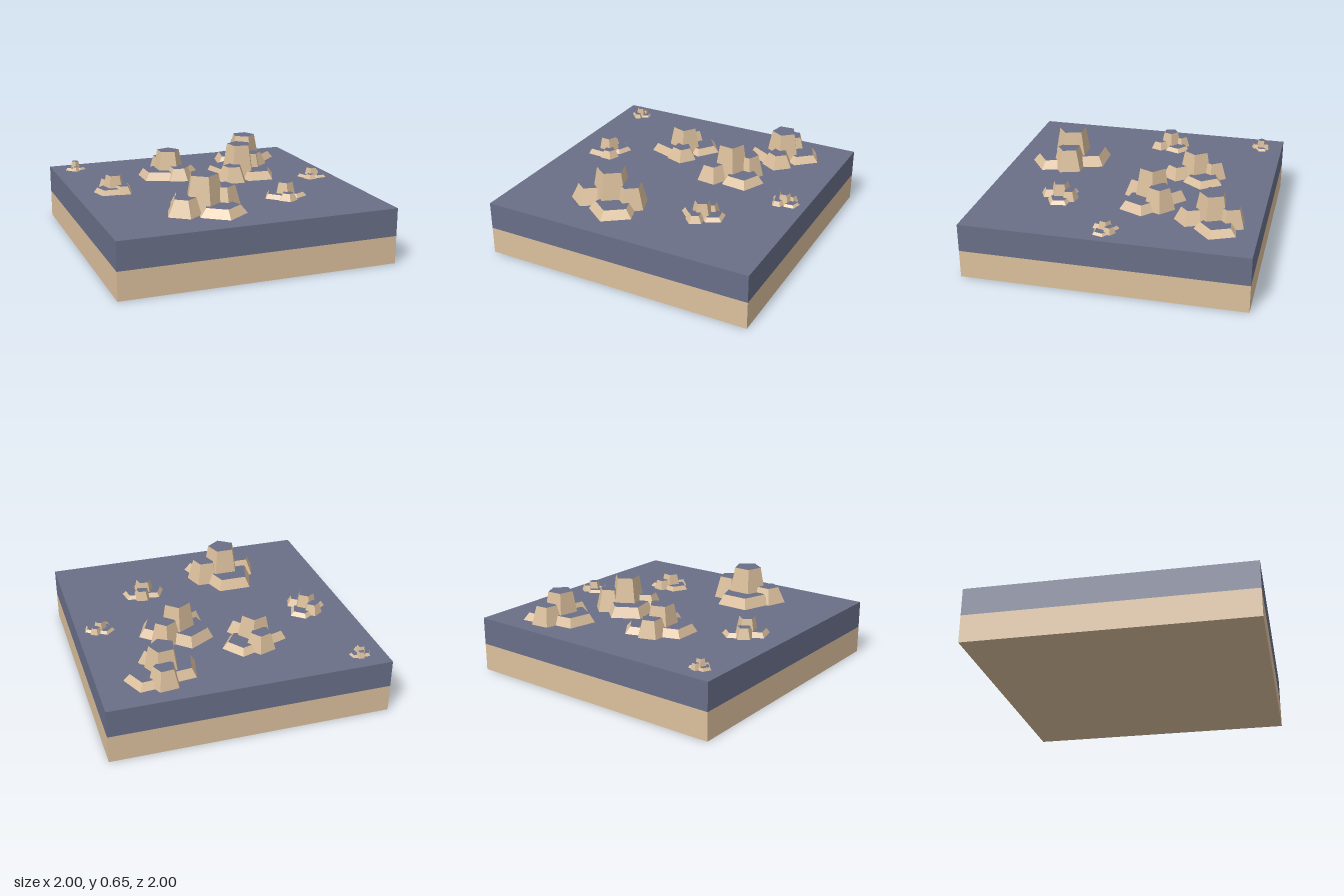
import * as THREE from 'three';

const sand = new THREE.MeshStandardMaterial({ color: 0xdcc09d, flatShading: true });
const slate = new THREE.MeshStandardMaterial({ color: 0x6a6f88, flatShading: true });

// One outcrop: five-sided tapered rocks [name, x, z, bottom radius, top radius, height]
const ROCKS = [
  ['peak', 0, 0, 0.15, 0.103, 0.255],
  ['broadLedge', -0.03, -0.09, 0.205, 0.16, 0.075],
  ['tallShoulder', 0.145, -0.01, 0.13, 0.085, 0.16],
  ['lowLedge', 0.085, 0.12, 0.18, 0.13, 0.06],
  ['midShoulder', -0.155, 0.05, 0.135, 0.08, 0.115],
];

// Placed outcrops: [x, z, turn in degrees, width scale, height scale]
const OUTCROPS = [
  [-0.26, 0.555, 0, 1, 1],
  [-0.19, -0.425, 90, 0.85, 0.77],
  [0.54, -0.667, 78, 0.88, 0.84],
  [0.31, -0.2, 30, 0.89, 1],
  [-0.705, -0.125, 105, 0.55, 0.48],
  [0.4, 0.45, 63, 0.52, 0.43],
  [0.83, 0.01, 40, 0.36, 0.28],
  [-0.83, -0.84, 65, 0.26, 0.27],
];

function slab(name, y, material) {
  const mesh = new THREE.Mesh(new THREE.BoxGeometry(2, 0.2, 2), material);
  mesh.name = name;
  mesh.position.y = y;
  return mesh;
}

function outcrop([x, z, turn, width, height]) {
  const group = new THREE.Group();
  group.name = 'rockOutcrop';
  for (const [name, rx, rz, bottom, top, h] of ROCKS) {
    // Sandy sides with a slate cap
    const rock = new THREE.Mesh(new THREE.CylinderGeometry(top, bottom, h, 5), [sand, slate, sand]);
    rock.name = name;
    rock.position.set(rx, h / 2, rz);
    group.add(rock);
  }
  group.position.set(x, 0.4, z);
  group.rotation.y = THREE.MathUtils.degToRad(turn);
  group.scale.set(width, height, width);
  return group;
}

export function createModel() {
  const model = new THREE.Group();
  model.name = 'rockyGroundTile';
  // Layered ground
  model.add(slab('lowerGround', 0.1, sand), slab('upperGround', 0.3, slate));
  // Rocks scattered on top
  for (const spec of OUTCROPS) model.add(outcrop(spec));
  return model;
}
